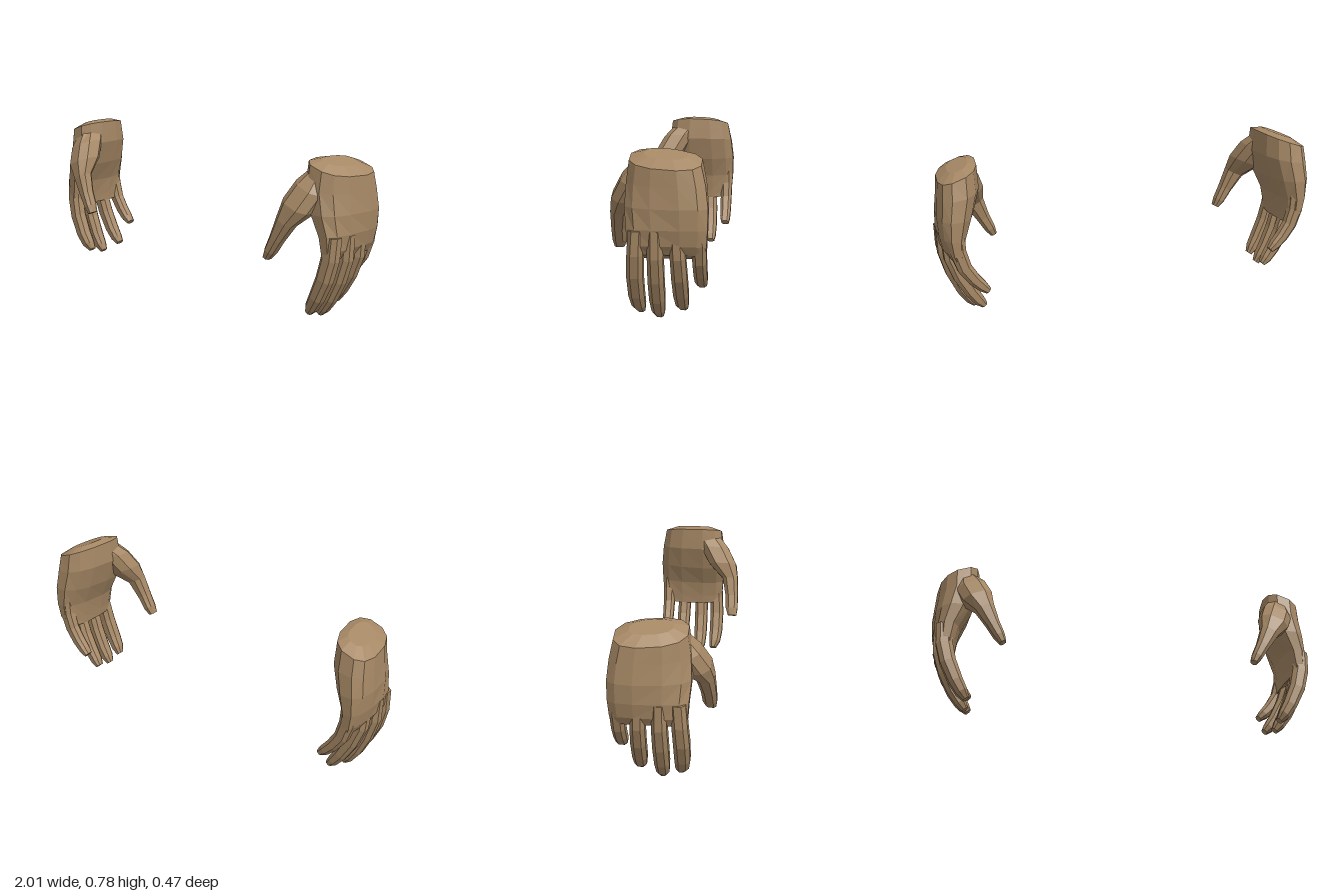
import * as THREE from 'three';

// Closed loft through tilted oval cross-sections.
// Each section: [x, y, z, halfThickness, halfWidth, lean, shear]
function loft(sections, sides, square = 0.8) {
  const pos = [], idx = [];
  const pw = (v) => Math.sign(v) * Math.pow(Math.abs(v), square);
  for (const [x, y, z, a, b, lean = 0, shear = 0] of sections) {
    for (let k = 0; k < sides; k++) {
      const t = ((k + 0.5) / sides) * Math.PI * 2;
      const v = b * pw(Math.sin(t));
      const u = a * pw(Math.cos(t)) - shear * v;
      pos.push(x + u * Math.cos(lean), y + u * Math.sin(lean), z + v);
    }
  }
  const n = sections.length;
  for (let i = 0; i < n - 1; i++) {
    for (let k = 0; k < sides; k++) {
      const p = i * sides + k, q = i * sides + ((k + 1) % sides);
      idx.push(p, q, p + sides, q, q + sides, p + sides);
    }
  }
  // end caps
  const first = n * sides, last = (n - 1) * sides;
  pos.push(...sections[0].slice(0, 3), ...sections[n - 1].slice(0, 3));
  for (let k = 0; k < sides; k++) {
    const m = (k + 1) % sides;
    idx.push(first, m, k, first + 1, last + k, last + m);
  }
  const g = new THREE.BufferGeometry();
  g.setAttribute('position', new THREE.Float32BufferAttribute(pos, 3));
  g.setIndex(idx);
  return g;
}

// Mirror across x and turn the faces back outward
function mirrored(geometry) {
  const g = geometry.clone().scale(-1, 1, 1);
  const a = g.index.array;
  for (let i = 0; i < a.length; i += 3) [a[i], a[i + 1]] = [a[i + 1], a[i]];
  return g;
}

// Finger from side-profile points [x, y, halfThickness, halfWidth, z]
function finger(points) {
  const sections = points.map(([x, y, a, b, z], i) => {
    const p = points[Math.max(i - 1, 0)], q = points[Math.min(i + 1, points.length - 1)];
    return [x, y, z, a, b, Math.atan2(q[0] - p[0], p[1] - q[1])];
  });
  return loft(sections, 8);
}

export function createModel() {
  const skin = new THREE.MeshStandardMaterial({ color: 0xa68865, flatShading: true });

  const parts = {
    // palm with a domed, sloping wrist cut
    palm: loft([
      [0.880, 0.763, -0.04, 0.055, 0.1, -0.33, 0.15],
      [0.885, 0.738, -0.04, 0.106, 0.168, -0.33, 0.15],
      [0.885, 0.64, -0.043, 0.108, 0.185, -0.15, 0.15],
      [0.908, 0.53, -0.046, 0.093, 0.194, 0, 0.12],
      [0.930, 0.43, -0.05, 0.068, 0.188, 0.1, 0.06],
      [0.930, 0.35, -0.05, 0.055, 0.182, 0.25, 0.02],
      [0.920, 0.305, -0.05, 0.042, 0.172, 0.4, 0],
    ], 12),
    // thumb with its broad base
    thumb: loft([
      [0.845, 0.72, 0.04, 0.05, 0.075, -0.4],
      [0.825, 0.65, 0.09, 0.082, 0.085, -0.4],
      [0.788, 0.565, 0.14, 0.082, 0.083, -0.4],
      [0.748, 0.49, 0.188, 0.052, 0.046, -0.45],
      [0.703, 0.4, 0.2, 0.036, 0.038, -0.45],
      [0.668, 0.335, 0.203, 0.029, 0.036, -0.45],
      [0.648, 0.298, 0.207, 0.018, 0.026, -0.45],
    ], 8),
    indexFinger: finger([
      [0.94, 0.43, 0.045, 0.038, 0.085], [0.935, 0.32, 0.045, 0.039, 0.092],
      [0.91, 0.22, 0.043, 0.04, 0.097], [0.865, 0.12, 0.038, 0.039, 0.096],
      [0.832, 0.065, 0.032, 0.034, 0.091], [0.808, 0.033, 0.018, 0.02, 0.083],
    ]),
    middleFinger: finger([
      [0.95, 0.43, 0.046, 0.036, 0], [0.945, 0.31, 0.046, 0.038, 0],
      [0.913, 0.2, 0.043, 0.039, 0.001], [0.868, 0.1, 0.038, 0.038, 0.001],
      [0.832, 0.042, 0.031, 0.033, 0], [0.808, 0.01, 0.018, 0.02, -0.003],
    ]),
    ringFinger: finger([
      [0.948, 0.43, 0.044, 0.036, -0.095], [0.937, 0.31, 0.044, 0.037, -0.1],
      [0.9, 0.21, 0.041, 0.038, -0.103], [0.85, 0.12, 0.036, 0.037, -0.105],
      [0.812, 0.068, 0.03, 0.032, -0.107], [0.788, 0.042, 0.018, 0.022, -0.11],
    ]),
    littleFinger: finger([
      [0.935, 0.46, 0.042, 0.036, -0.192], [0.928, 0.37, 0.041, 0.036, -0.194],
      [0.9, 0.285, 0.038, 0.034, -0.194], [0.855, 0.22, 0.034, 0.033, -0.194],
      [0.815, 0.178, 0.029, 0.031, -0.194], [0.786, 0.152, 0.018, 0.023, -0.196],
    ]),
  };

  // a left hand and its mirror image
  const model = new THREE.Group();
  model.name = 'pairOfHands';
  for (const side of ['left', 'right']) {
    const hand = new THREE.Group();
    hand.name = side + 'Hand';
    for (const [name, base] of Object.entries(parts)) {
      const geometry = side === 'left' ? base : mirrored(base);
      geometry.computeVertexNormals();
      const mesh = new THREE.Mesh(geometry, skin);
      mesh.name = name;
      hand.add(mesh);
    }
    model.add(hand);
  }
  return model;
}
